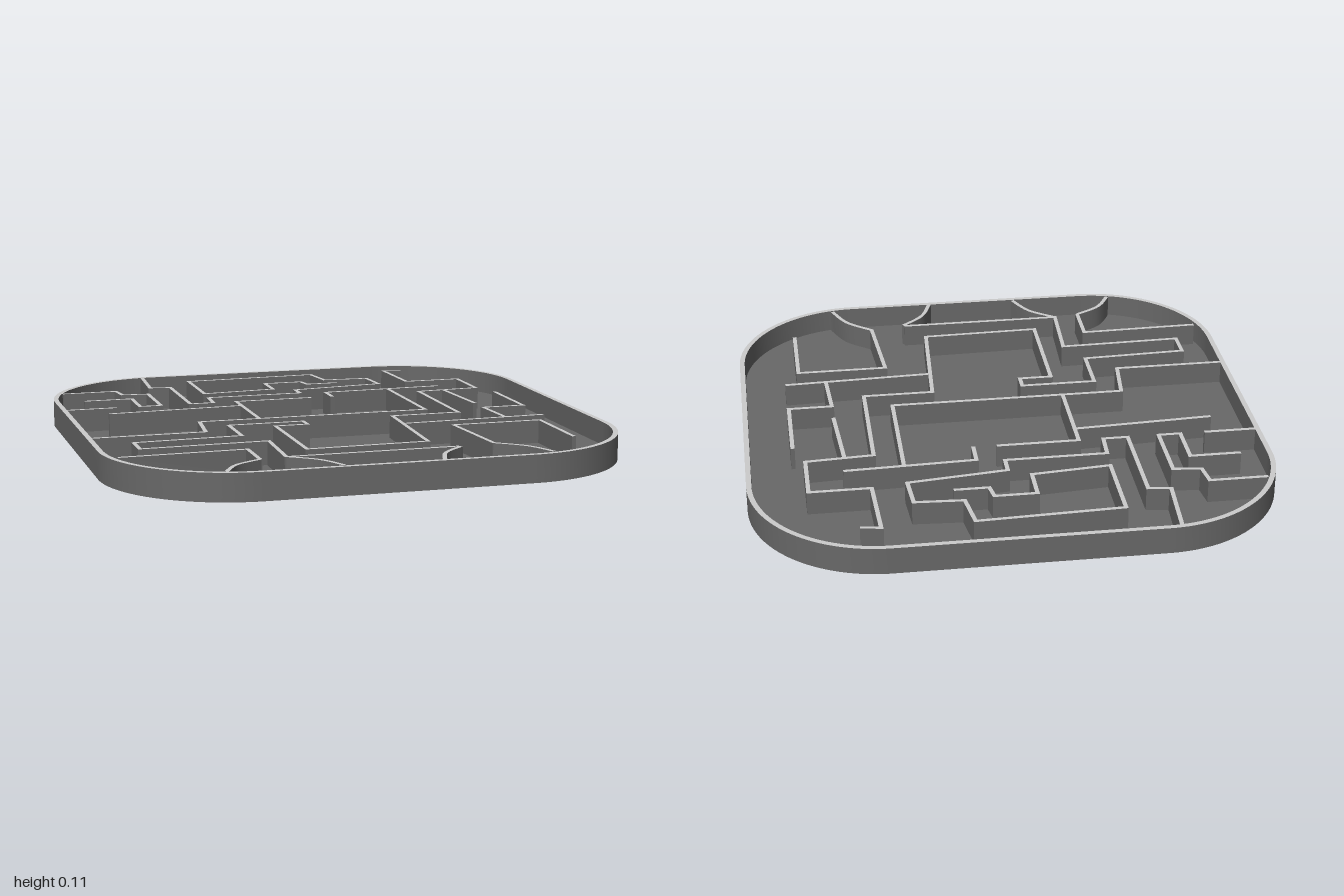
import * as THREE from 'three';
import { toCreasedNormals } from 'three/addons/utils/BufferGeometryUtils.js';

const HEIGHT = 0.105, FLOOR = 0.015, THICK = 0.016;

// Walks a wall route that turns at every step: each move gives the next x or z
// in turn, or [next, drift] when that stretch leans sideways.
// Shape space uses y = -z so that extrusions can be laid flat.
function route(x, z, alongX, moves) {
  const points = [new THREE.Vector2(x, -z)];
  for (const move of moves) {
    const [next, drift] = Array.isArray(move) ? move : [move, 0];
    if (alongX) { x = next; z += drift; } else { z = next; x += drift; }
    points.push(new THREE.Vector2(x, -z));
    alongX = !alongX;
  }
  return points;
}

// Gently bowed route from a wall end to the front rim
function bow(x1, z1, x2, z2) {
  const a = new THREE.Vector2(x1, -z1), b = new THREE.Vector2(x2, -z2);
  const mid = a.clone().lerp(b, 0.5).add(new THREE.Vector2(Math.sign(x2 - x1) * 0.022, 0.015));
  return new THREE.SplineCurve([a, mid, b]).getPoints(12);
}

// Ribbon of even thickness with mitred corners
function ribbon(points) {
  const left = [], right = [];
  const last = points.length - 1;
  const normal = (i) => {
    const d = points[i + 1].clone().sub(points[i]).normalize();
    return new THREE.Vector2(-d.y, d.x);
  };
  points.forEach((p, i) => {
    const n = normal(Math.max(i - 1, 0));
    const mitre = n.clone().add(normal(Math.min(i, last - 1))).normalize();
    mitre.multiplyScalar(THICK / 2 / mitre.dot(n));
    left.push(p.clone().add(mitre));
    right.unshift(p.clone().sub(mitre));
  });
  return new THREE.Shape([...left, ...right]);
}

// Rounded square outline
function rounded(path, h, r) {
  const c = h - r;
  path.moveTo(h, -c);
  path.absarc(c, c, r, 0, Math.PI / 2);
  path.absarc(-c, c, r, Math.PI / 2, Math.PI);
  path.absarc(-c, -c, r, Math.PI, Math.PI * 1.5);
  path.absarc(c, -c, r, Math.PI * 1.5, Math.PI * 2);
  return path;
}

export function createModel() {
  const group = new THREE.Group();
  const body = new THREE.MeshStandardMaterial({ name: 'dark grey', color: 0x686868 });
  const top = new THREE.MeshStandardMaterial({ name: 'light grey', color: 0xcccccc });

  const add = (name, shape, y0, y1, materials) => {
    const flat = new THREE.ExtrudeGeometry(shape, { depth: y1 - y0, bevelEnabled: false, curveSegments: 24 });
    const geometry = toCreasedNormals(flat, 0.5);
    geometry.rotateX(-Math.PI / 2);
    geometry.translate(0, y0, 0);
    const mesh = new THREE.Mesh(geometry, materials);
    mesh.name = name;
    group.add(mesh);
  };
  const wall = (name, points) => add(name, ribbon(points), FLOOR, HEIGHT, [top, body]);

  // Floor plate and outer rim
  add('floor', rounded(new THREE.Shape(), 1, 0.5), 0, FLOOR, body);
  const rim = rounded(new THREE.Shape(), 1, 0.5);
  rim.holes.push(rounded(new THREE.Path(), 0.98, 0.48));
  add('outerRim', rim, FLOOR, HEIGHT, [top, body]);

  // Walls in the back half
  wall('backLongWall', route(-.544, -.985, false, [[-.723, -.016], [-.475, .011], -.317, -.379, [-.432, .006],
    .021, -.509, [.405, -.043], [-.696, -.01], [.208, -.011], [-.856, -.021], [-.368, .021], -.525,
    [-.064, -.027], -.691, .096, [-.627, .011], .24]));
  wall('backRightHookWall', route(-.939, -.685, true, [-.715, [-.595, .011], [-.597, .011], -.317, -.683, -.495, -.88]));
  wall('rightStubWall', route(-.985, -.317, true, [-.779]));
  wall('rightSpurWall', route(-.832, -.195, true, [[-.283, -.029]]));

  // Walls around the centre room
  wall('centreCornerWall', route(.037, -.317, true, [-.283, .064]));
  wall('centreBackWall', route(.128, -.312, false, [-.416, [.635, -.017]]));
  wall('centreRoomWall', route(.405, -.422, false, [.064, -.523, [.264, -.021], -.985]));

  // Walls on the left side
  wall('leftInnerWall', route(.624, -.333, false, [[-.008, .021]]));
  wall('leftStepWall', route(.816, -.237, false, [.088, .645, [.296, .011]]));
  wall('leftCrossWall', route(.235, .317, true, [[.821, -.021]]));

  // Walls in the front half
  wall('frontLongWall', route(.603, -.845, true, [[.528, -.011], [-.573, .011], .773, -.344, [.512, .016],
    .157, .235, [.664, -.027], [-.261, .011], .227, -.133, .163, -.43, .371, [-.845, .016], .504,
    [-.357, -.011], [.781, -.011], .288]));
  wall('frontLeftWall', route(.763, .733, false, [.397, .405, [.764, .027]]));
  wall('frontRightWall', route(-.949, .627, true, [[-.469, -.011], .8]));

  // Bowed walls of the two front openings
  wall('rightOpeningOuter', bow(-.469, .797, -.629, .957));
  wall('rightOpeningInner', bow(-.368, .781, -.208, .973));
  wall('leftOpeningInner', bow(.293, .787, .16, .985));
  wall('leftOpeningOuter', bow(.432, .76, .587, .963));
  return group;
}
